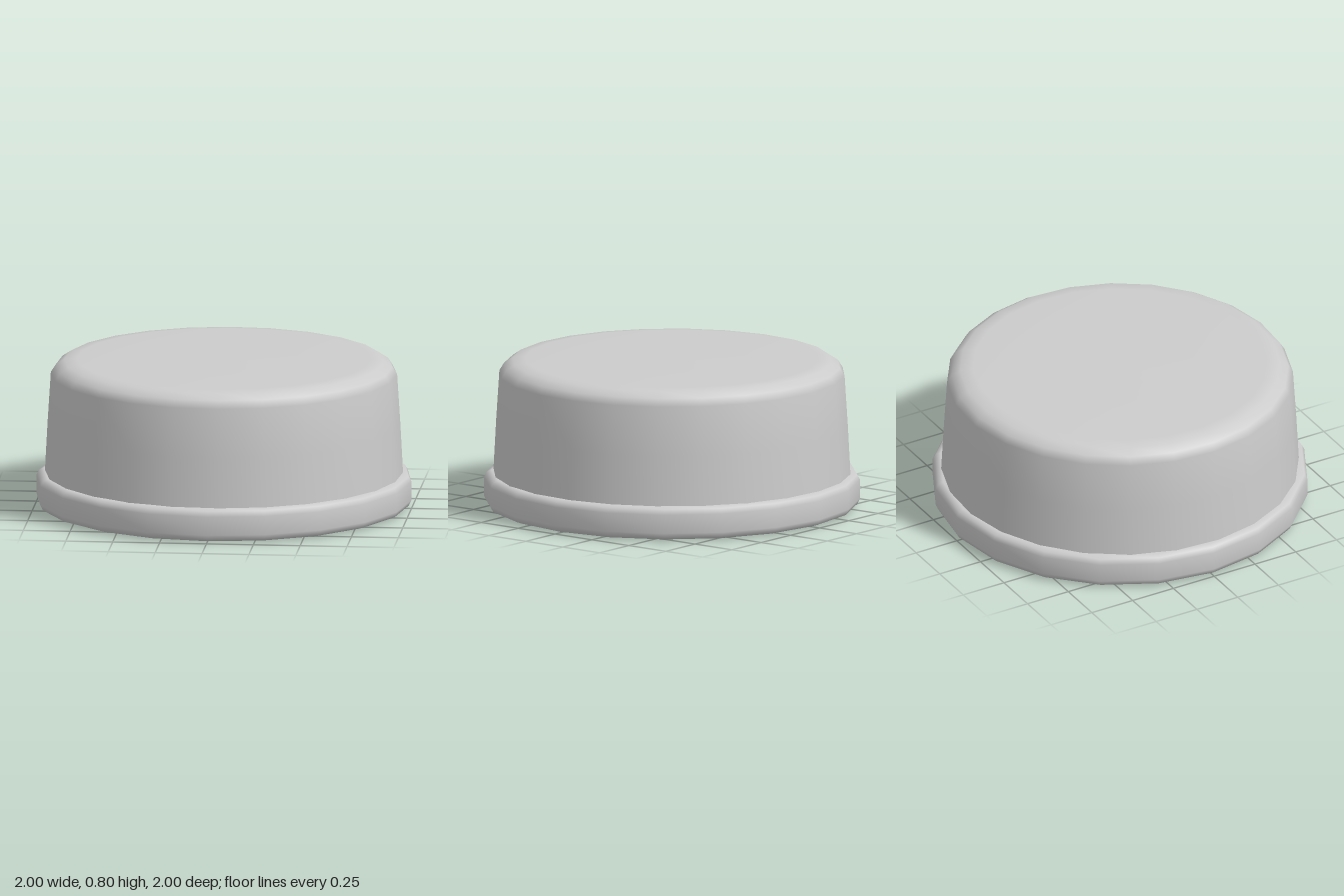
import * as THREE from 'three';

// Revolves an [radius, height] profile listed from bottom to top.
function turned(name, profile, sides, material, start = 0) {
  const points = profile.map(([r, y]) => new THREE.Vector2(r, y));
  const mesh = new THREE.Mesh(new THREE.LatheGeometry(points, sides, start), material);
  mesh.name = name;
  return mesh;
}

export function createModel() {
  const group = new THREE.Group();
  group.name = 'roundCap';
  const grey = new THREE.MeshStandardMaterial({ color: 0xcccccc });
  grey.name = 'light grey';

  // Wide base ring with softly rounded edges and a closed underside
  group.add(turned('baseRim', [
    [0, 0], [0.9, 0], [0.955, 0.005], [0.985, 0.015], [1, 0.045],
    [1, 0.145], [0.985, 0.172], [0.96, 0.183], [0.9, 0.185],
  ], 20, grey));

  // Tapered body with a rounded shoulder and slightly domed top
  group.add(turned('body', [
    [0.952, 0.17], [0.937, 0.45], [0.92, 0.715], [0.895, 0.755],
    [0.85, 0.785], [0.78, 0.793], [0.4, 0.798], [0, 0.8],
  ], 24, grey, 0.06));

  return group;
}
